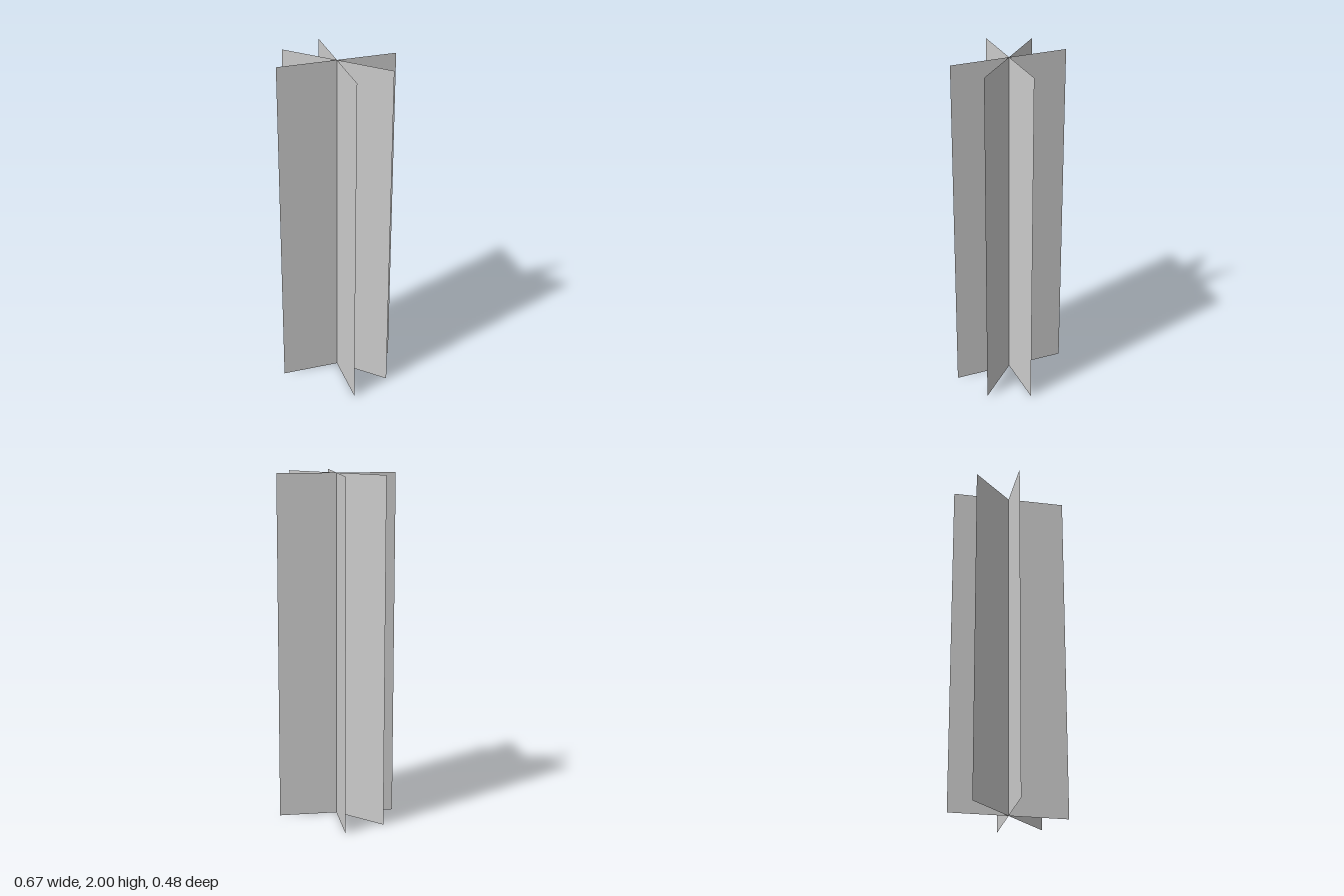
import * as THREE from 'three';

const HEIGHT = 2;
const WIDTH = 0.672;

export function createModel() {
  const group = new THREE.Group();
  group.name = 'crossedPanels';

  const material = new THREE.MeshStandardMaterial({ color: 0xcccccc, side: THREE.DoubleSide });
  const geometry = new THREE.PlaneGeometry(WIDTH, HEIGHT).translate(0, HEIGHT / 2, 0);

  // Three upright panels crossing on the central axis, 45 degrees apart
  const panels = { leftDiagonalPanel: -Math.PI / 4, middlePanel: 0, rightDiagonalPanel: Math.PI / 4 };
  for (const [name, angle] of Object.entries(panels)) {
    const panel = new THREE.Mesh(geometry, material);
    panel.name = name;
    panel.rotation.y = angle;
    group.add(panel);
  }
  return group;
}
